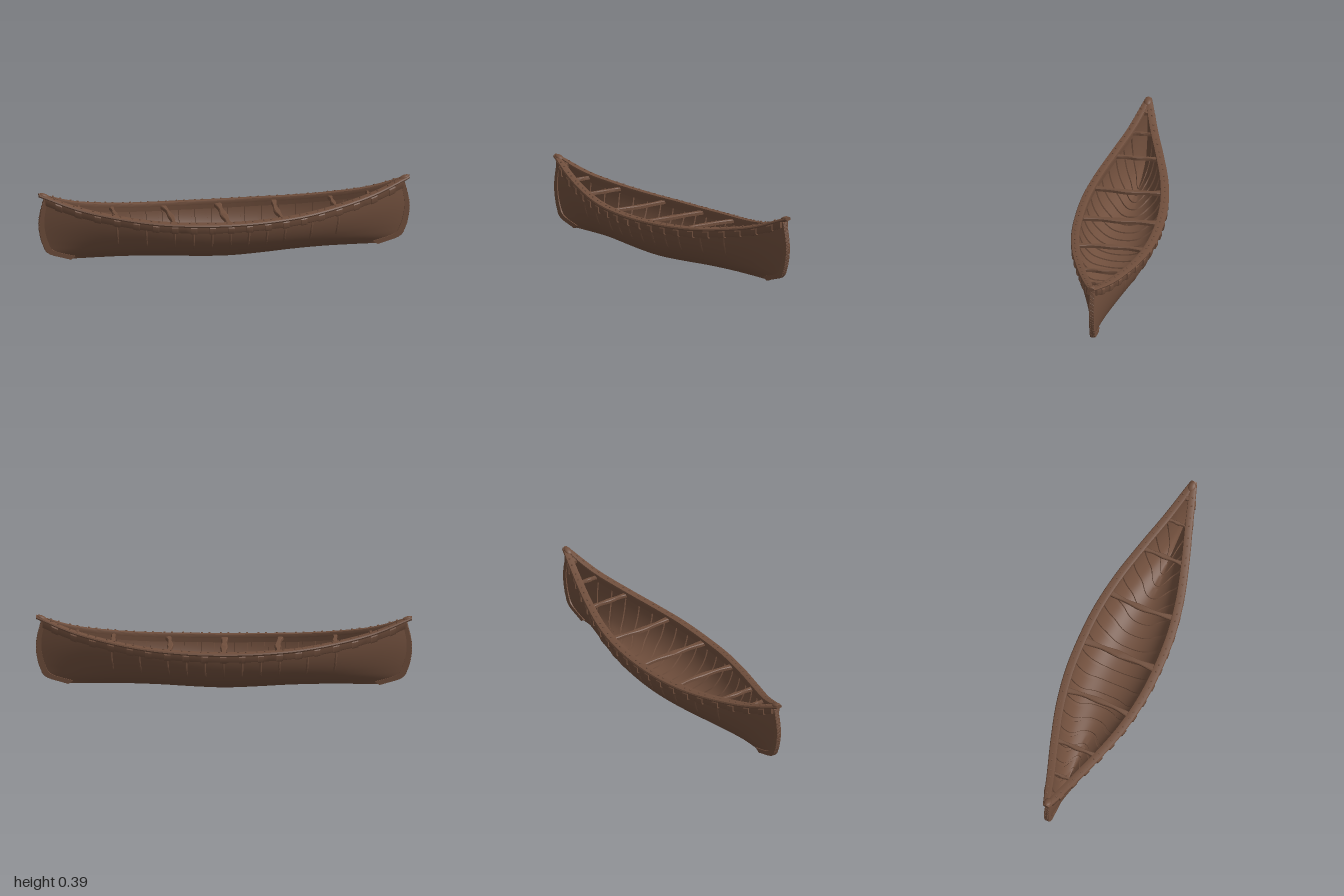
import * as THREE from 'three';
import { toCreasedNormals } from 'three/addons/utils/BufferGeometryUtils.js';

const wood = new THREE.MeshStandardMaterial({ color: 0x6f4e3c, side: THREE.DoubleSide });
wood.name = 'brownWood';

// Smooth interpolation of evenly spaced values; mirrored about zero
const smooth = (table, step) => (x) => {
  const p = Math.min(Math.abs(x) / step, table.length - 1.0001);
  const i = Math.floor(p), f = p - i;
  const b = table[i], c = table[i + 1];
  const a = table[Math.abs(i - 1)];
  const d = i + 2 < table.length ? table[i + 2] : 2 * c - b;
  return b + 0.5 * f * (c - a + f * (2 * a - 5 * b + 4 * c - d + f * (3 * (b - c) + d - a)));
};
const beam = smooth([0.222, 0.213, 0.18, 0.126, 0.064, 0.008], 0.2); // half width
const sheer = smooth([0.225, 0.229, 0.24, 0.265, 0.305, 0.375], 0.2); // top edge height
const keel = smooth([0.003, 0.008, 0.015, 0.017, 0.016, 0.015], 0.2);
const stem = smooth([0.8, 0.94, 0.975, 0.99, 0.997, 0.995, 0.985, 0.972, 0.965], 0.05); // end x by height

const V = (x, y, z) => new THREE.Vector3(x, y, z);

// Point on the hull: u along the length, v from one side (-1) over the keel to the other (1)
function hullPoint(u, v, inset = 0) {
  const a = Math.abs(v) * Math.PI / 2, e = Math.abs(u);
  const y = keel(u) + (sheer(u) - keel(u)) * (1 - Math.cos(a));
  const width = (beam(u) - 0.008 * e ** 8) * Math.sin(a) ** (0.87 + 0.4 * e * e);
  const z = Math.max(0, width - inset * Math.sin(a));
  return V(u * (stem(y) - Math.max(0, inset) * e ** 6), y + inset * Math.cos(a), Math.sign(v) * z);
}

// Joins rings of points into a skin; solid ones are closed around and capped
function loft(ringAt, n, solid = true, crease = 0.6) {
  const pos = [], idx = [];
  let m = 0;
  for (let i = 0; i <= n; i++) {
    const ring = ringAt(i / n);
    m = ring.length;
    ring.forEach((p) => pos.push(p.x, p.y, p.z));
  }
  for (let i = 0; i < n; i++) {
    for (let j = 0; j < (solid ? m : m - 1); j++) {
      const k = (j + 1) % m, a = i * m + j, b = i * m + k;
      idx.push(a, b, a + m, b, b + m, a + m);
    }
  }
  if (solid) {
    for (let j = 1; j < m - 1; j++) {
      idx.push(0, j + 1, j, n * m, n * m + j, n * m + j + 1);
    }
  }
  const g = new THREE.BufferGeometry();
  g.setAttribute('position', new THREE.Float32BufferAttribute(pos, 3));
  g.setIndex(idx);
  if (solid) return toCreasedNormals(g, crease);
  g.computeVertexNormals();
  return g;
}

export function createModel() {
  const model = new THREE.Group();
  model.name = 'canoe';
  const add = (name, geometry) => {
    const mesh = new THREE.Mesh(geometry, wood);
    mesh.name = name;
    model.add(mesh);
    return mesh;
  };

  // Outer and inner skins
  const skin = (inset, reach) => loft((t) => {
    const u = reach * Math.sin((t - 0.5) * Math.PI);
    return Array.from({ length: 49 }, (_, j) => hullPoint(u, j / 24 - 1, inset));
  }, 96, false);
  add('outerHull', skin(0, 1));
  add('innerHull', skin(0.01, 0.98));

  // Broad flat ribs lining the inside
  for (let i = -9; i <= 9; i++) {
    const u = i * 0.09;
    add('rib', loft((t) => {
      const v = (t * 2 - 1) * 0.97;
      return [hullPoint(u - 0.036, v, 0.008), hullPoint(u + 0.036, v, 0.008),
        hullPoint(u + 0.034, v, 0.017), hullPoint(u - 0.034, v, 0.017)];
    }, 36));
  }

  // Rails and details that follow the top edge on each side
  for (const s of [-1, 1]) {
    const rail = (name, section, from = -1, to = 1, n = 80) => add(name, loft((t) => {
      const u = from + (to - from) * t;
      return section(u).map(([dz, dy]) =>
        V(u, sheer(u) + dy, s * Math.max(0, beam(u) + dz)));
    }, n));

    rail('gunwaleCap', (u) => {
      const o = 0.019 - 0.009 * Math.abs(u) ** 6;
      return [[o - 0.004, -0.006], [o, 0.001], [o - 0.004, 0.008], [-0.012, 0.014],
        [-0.026, 0.011], [-0.028, 0.003], [-0.026, -0.01]];
    });
    rail('outwale', () => [[-0.006, -0.04], [0.006, -0.04], [0.01, -0.034],
      [0.01, -0.004], [-0.006, -0.004]], -0.965, 0.965);
    rail('inwale', () => [[-0.006, -0.034], [-0.022, -0.034], [-0.024, -0.004],
      [-0.006, -0.004]], -0.95, 0.95);

    // Lashings around the outwale and pegs on the cap
    for (let i = -9; i <= 9; i++) {
      const u = i * 0.1;
      rail('lashing', () => [[0, -0.045], [0.012, -0.044], [0.017, -0.036],
        [0.017, -0.012], [0.012, -0.005], [0, -0.005]], u - 0.017, u + 0.017, 4);
      for (const d of [-0.02, 0.02]) {
        const x = u + d;
        const peg = add('peg', new THREE.CylinderGeometry(0.005, 0.006, 0.008, 8));
        peg.position.set(x, sheer(x) + 0.012, s * Math.max(0, beam(x) - 0.004));
      }
    }

    // Thin raised seams outside the hull
    for (const u of [-0.6, -0.45, -0.3, -0.2, -0.1, 0, 0.1, 0.2, 0.3, 0.45, 0.6]) {
      add('seam', loft((t) => {
        const v = s * (0.56 + 0.34 * t), h = 0.006 * Math.sin(Math.PI * t);
        return [hullPoint(u - 0.008, v, 0.002), hullPoint(u - 0.003, v, -h),
          hullPoint(u + 0.003, v, -h), hullPoint(u + 0.008, v, 0.002)];
      }, 14, true, 1.2));
    }
  }

  // Cross bars: position, half width, bow towards the ends
  const bars = [[0, 0.02, 0], [0.3, 0.016, 0.014], [-0.3, 0.016, -0.014],
    [0.59, 0.013, 0], [-0.59, 0.013, 0], [0.78, 0.01, 0], [-0.78, 0.01, 0]];
  for (const [x, w, bow] of bars) {
    const half = beam(x) - 0.015, y = sheer(x) - 0.012;
    add('crossBar', loft((t) => {
      const q = t * 2 - 1, c = x - bow * (1 - q * q);
      const k = w * (0.8 + 0.2 * Math.cos(q * Math.PI * 2));
      const z = q * half;
      return [V(c - k, y - 0.009, z), V(c + k, y - 0.009, z), V(c + k, y + 0.005, z),
        V(c + k * 0.7, y + 0.009, z), V(c - k * 0.7, y + 0.009, z), V(c - k, y + 0.005, z)];
    }, 16));
  }

  // Ends: small deck, raised tip, stem binding with crossed cord
  for (const s of [-1, 1]) {
    add('endDeck', loft((t) => {
      const u = 0.9 + 0.095 * t, w = beam(u), y = sheer(u);
      return [V(s * u, y - 0.008, -w), V(s * u, y + 0.004, -w),
        V(s * u, y + 0.009, 0), V(s * u, y + 0.004, w), V(s * u, y - 0.008, w)];
    }, 8));

    const tip = add('tipCap', new THREE.SphereGeometry(1, 16, 10));
    tip.scale.set(0.028, 0.011, 0.02);
    tip.position.set(s * 0.972, 0.374, 0);
    tip.rotation.z = s * 0.35;

    const height = (t) => 0.016 + 0.335 * t ** 1.6;
    add('stemBinding', loft((t) => {
      const y = height(t), x = stem(y), drop = 0.004 * (1 - t) ** 3;
      return [V(s * (x - 0.025), y + 0.015, -0.014), V(s * (x + 0.001), y - drop, -0.013),
        V(s * (x + 0.003), y - drop, 0), V(s * (x + 0.001), y - drop, 0.013),
        V(s * (x - 0.025), y + 0.015, 0.014)];
    }, 30));
    for (const side of [-1, 1]) {
      const cord = Array.from({ length: 27 }, (_, i) => {
        const y = height(i / 26);
        return V(s * (stem(y) + 0.001), y, side * (i % 2 ? 0.011 : -0.011));
      });
      add('stemCord', new THREE.TubeGeometry(new THREE.CatmullRomCurve3(cord), 130, 0.003, 6));
    }
  }
  return model;
}
